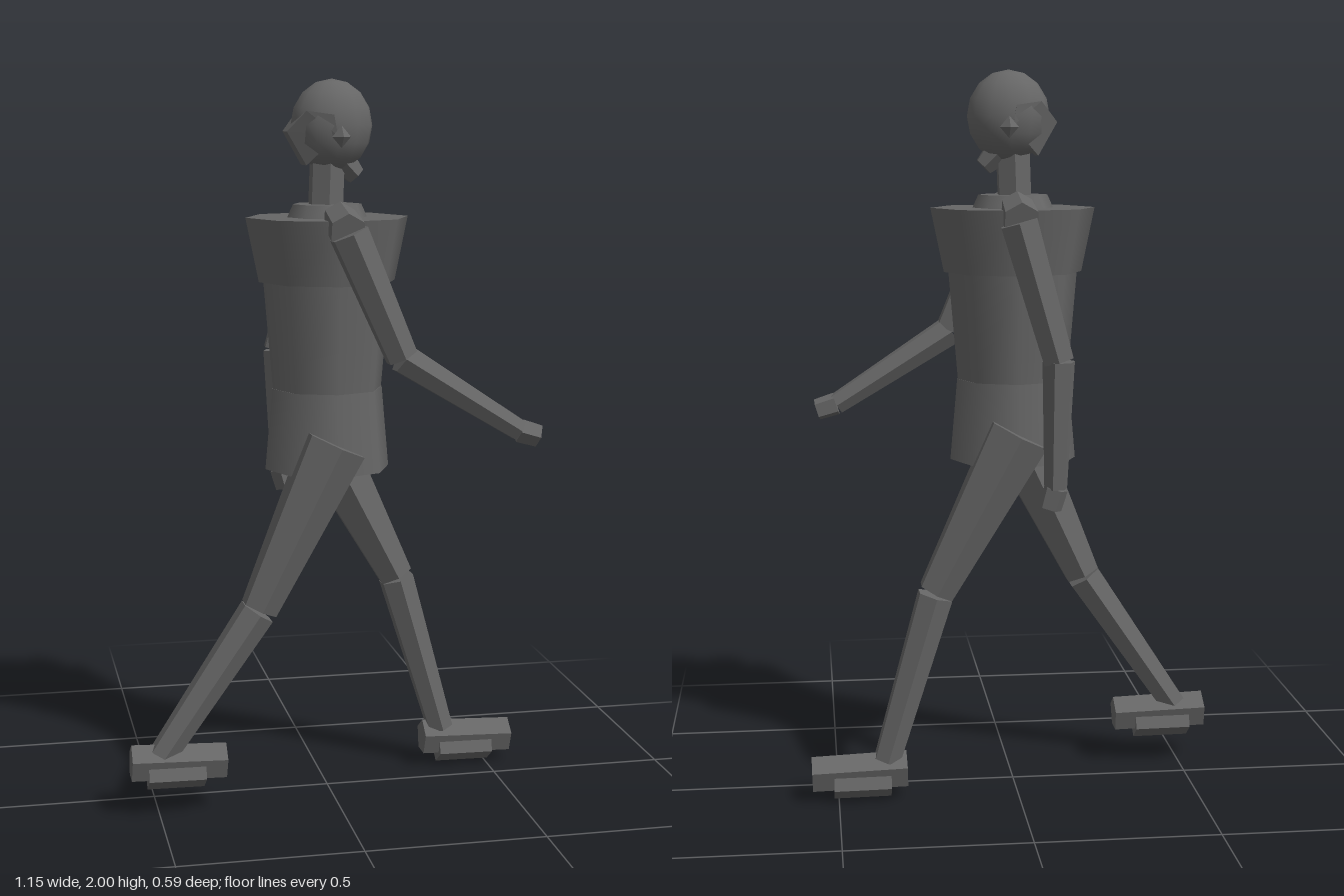
import * as THREE from 'three';
import { ConvexGeometry } from 'three/addons/geometries/ConvexGeometry.js';

const V = (x, y, z) => new THREE.Vector3(x, y, z);

export function createModel() {
  const model = new THREE.Group();
  model.name = 'walkingFigure';
  const grey = new THREE.MeshStandardMaterial({ color: 0x666666 });
  grey.name = 'grey';

  const add = (name, geometry, parent = model) => {
    const mesh = new THREE.Mesh(geometry, grey);
    mesh.name = name;
    parent.add(mesh);
    return mesh;
  };
  const faceted = (geometry) => {
    const g = geometry.index ? geometry.toNonIndexed() : geometry;
    g.computeVertexNormals();
    return g;
  };
  // Faceted tapering prism from point a to point b
  const limb = (name, a, b, ra, rb, parent, sides = 6, turn = 0) => {
    const dir = b.clone().sub(a);
    const g = new THREE.CylinderGeometry(rb, ra, dir.length(), sides);
    g.rotateY(turn);
    const mesh = add(name, faceted(g), parent);
    mesh.position.copy(a).add(b).multiplyScalar(0.5);
    mesh.quaternion.setFromUnitVectors(V(0, 1, 0), dir.normalize());
    return mesh;
  };
  // Smooth eight-sided torso section
  const section = (name, y0, y1, r0, r1, depth = 0.97) => {
    const mesh = add(name, new THREE.CylinderGeometry(r1, r0, y1 - y0, 8));
    mesh.position.y = (y0 + y1) / 2;
    mesh.scale.z = depth;
  };

  // Torso and neck
  section('hips', 0.935, 1.16, 0.175, 0.155, 0.95);
  section('waist', 1.16, 1.46, 0.153, 0.178);
  section('chest', 1.455, 1.63, 0.19, 0.226);
  section('collar', 1.625, 1.665, 0.113, 0.095, 1);
  limb('neck', V(-0.005, 1.64, 0), V(0, 1.78, 0), 0.05, 0.05, model);

  // Head
  const head = new THREE.Group();
  head.name = 'head';
  model.add(head);
  const skull = add('skull', new THREE.SphereGeometry(1, 12, 8), head);
  skull.scale.set(0.113, 0.124, 0.096);
  skull.position.set(0.012, 1.876, 0);
  const nape = [];
  for (const s of [1, -1]) {
    nape.push(V(-0.117, 1.86, s * 0.035), V(-0.07, 1.915, s * 0.07), V(0, 1.905, s * 0.095),
      V(0.01, 1.85, s * 0.095), V(-0.065, 1.77, s * 0.04));
    const ear = add(s > 0 ? 'rightEar' : 'leftEar', new THREE.OctahedronGeometry(0.03), head);
    ear.position.set(0.02, 1.847, s * 0.095);
    ear.scale.x = 0.85;
  }
  add('backOfHead', new ConvexGeometry(nape), head);
  limb('chin', V(0.035, 1.785, 0), V(0.08, 1.74, 0), 0.045, 0.028, head, 6);

  // Arms: elbow, wrist and fingertip for each side
  const arms = [
    { name: 'rightArm', s: 1, elbow: V(0.155, 1.27, 0.236), wrist: V(0.485, 1.062, 0.226), tip: V(0.54, 1.045, 0.228) },
    { name: 'leftArm', s: -1, elbow: V(-0.095, 1.235, -0.242), wrist: V(-0.09, 0.89, -0.228), tip: V(-0.075, 0.835, -0.226) },
  ];
  for (const { name, s, elbow, wrist, tip } of arms) {
    const arm = new THREE.Group();
    arm.name = name;
    model.add(arm);
    limb('shoulder', V(0.005, 1.635, s * 0.135), V(0.005, 1.605, s * 0.25), 0.046, 0.05, arm);
    limb('upperArm', V(0.01, 1.6, s * 0.237), elbow, 0.056, 0.046, arm);
    limb('forearm', elbow, wrist, 0.045, 0.032, arm);
    limb('hand', wrist, tip, 0.034, 0.032, arm, 5);
  }

  // Legs: knee and ankle for each side, plus the heel position of the foot
  const legs = [
    { name: 'rightLeg', s: 1, knee: V(-0.215, 0.57, 0.12), ankle: V(-0.49, 0.165, 0.123), heel: V(-0.575, 0.15, 0.122) },
    { name: 'leftLeg', s: -1, knee: V(0.225, 0.585, -0.115), ankle: V(0.365, 0.11, -0.117), heel: V(0.31, 0.083, -0.117) },
  ];
  for (const { name, s, knee, ankle, heel } of legs) {
    const leg = new THREE.Group();
    leg.name = name;
    model.add(leg);
    limb('thigh', V(-0.003, 1.022, s * 0.117), knee, 0.093, 0.054, leg);
    limb('shin', knee.clone().lerp(ankle, 0.02), ankle, 0.053, 0.04, leg);
    // Five-sided foot with a shorter sole pointing down
    limb('foot', heel, heel.clone().add(V(0.263, -0.008, 0)), 0.052, 0.05, leg, 5, -Math.PI / 2);
    const a = heel.clone().add(V(0.045, -0.023, 0));
    limb('sole', a, a.clone().add(V(0.158, -0.002, 0)), 0.056, 0.056, leg, 5, Math.PI / 2);
  }
  return model;
}
